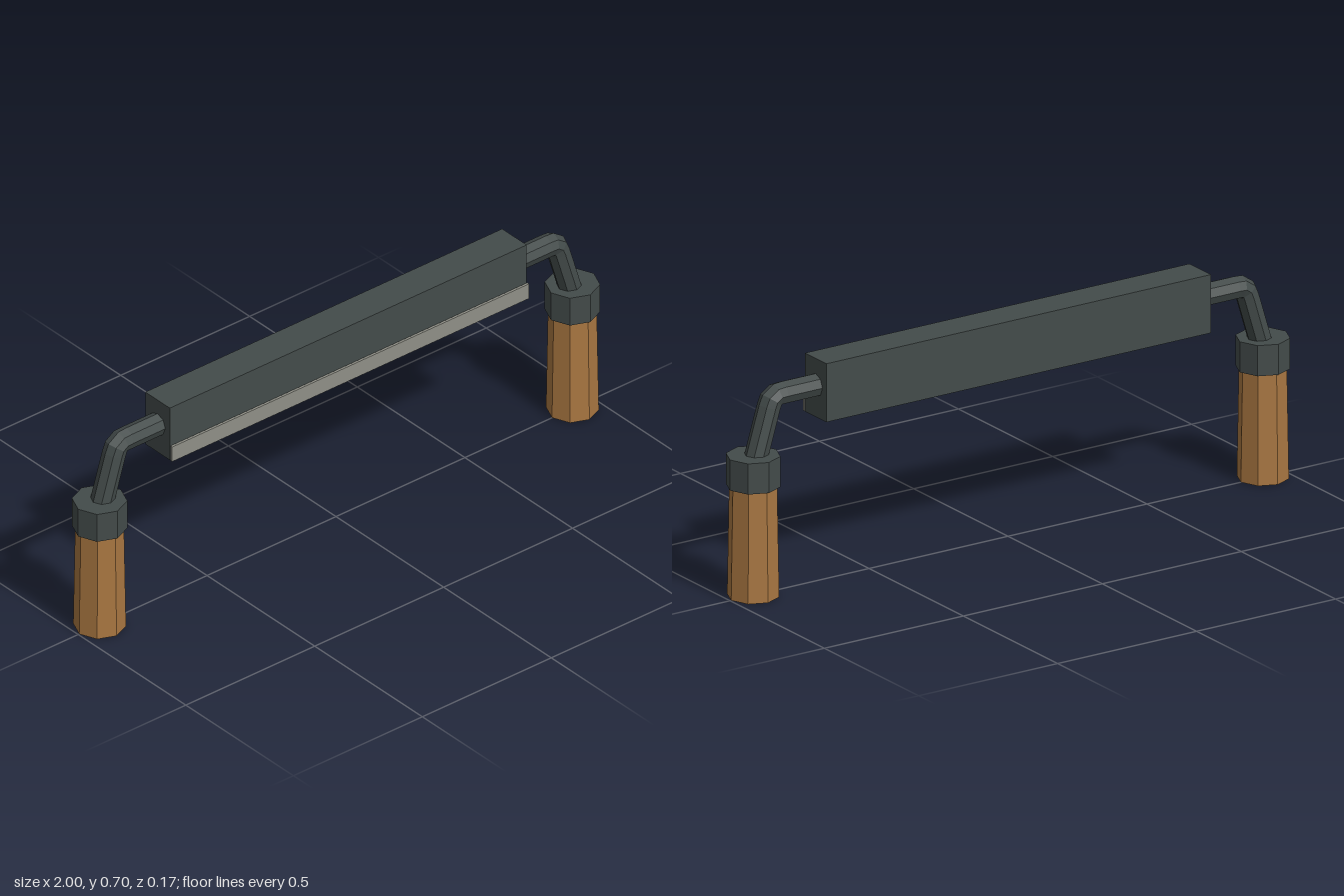
import * as THREE from 'three';

export function createModel() {
  const steel = new THREE.MeshStandardMaterial({ color: 0x434b4a });
  steel.name = 'dark steel';
  const wood = new THREE.MeshStandardMaterial({ color: 0xa87641 });
  wood.name = 'brown wood';
  const edge = new THREE.MeshStandardMaterial({ color: 0x8f8f86 });
  edge.name = 'ground edge';

  const model = new THREE.Group();
  model.name = 'twoHandledBlade';

  // Faceted normals for every face
  const faceted = (geometry) => {
    const flat = geometry.toNonIndexed();
    flat.computeVertexNormals();
    return flat;
  };
  const add = (parent, name, geometry, material, x, y, z) => {
    const mesh = new THREE.Mesh(faceted(geometry), material);
    mesh.name = name;
    mesh.position.set(x, y, z);
    parent.add(mesh);
  };

  // Blade bar and the thin cutting edge along its lower front
  add(model, 'blade', new THREE.BoxGeometry(1.384, 0.185, 0.114), steel, 0, 0.6125, 0);
  add(model, 'cuttingEdge', new THREE.BoxGeometry(1.384, 0.052, 0.008), edge, 0, 0.546, 0.064);

  // Bent rod: straight out of the blade, a short bend, then down to the ferrule
  const v = (x, y) => new THREE.Vector3(x, y, 0);
  const path = new THREE.CurvePath();
  path.add(new THREE.LineCurve3(v(0.66, 0.621), v(0.825, 0.621)));
  path.add(new THREE.QuadraticBezierCurve3(v(0.825, 0.621), v(0.85, 0.621), v(0.858, 0.597)));
  path.add(new THREE.LineCurve3(v(0.858, 0.597), v(0.912, 0.42)));
  const rod = new THREE.TubeGeometry(path, 18, 0.036, 8, false);

  // Each side is the same assembly turned half round
  for (const [side, turn] of [['left', 0], ['right', Math.PI]]) {
    const arm = new THREE.Group();
    arm.name = side + 'Arm';
    arm.rotation.y = turn;
    add(arm, side + 'Rod', rod, steel, 0, 0, 0);
    add(arm, side + 'Ferrule', new THREE.CylinderGeometry(0.083, 0.083, 0.097, 8), steel, 0.917, 0.3975, 0);
    add(arm, side + 'Handle', new THREE.CylinderGeometry(0.073, 0.079, 0.35, 8), wood, 0.917, 0.175, 0);
    model.add(arm);
  }
  return model;
}
